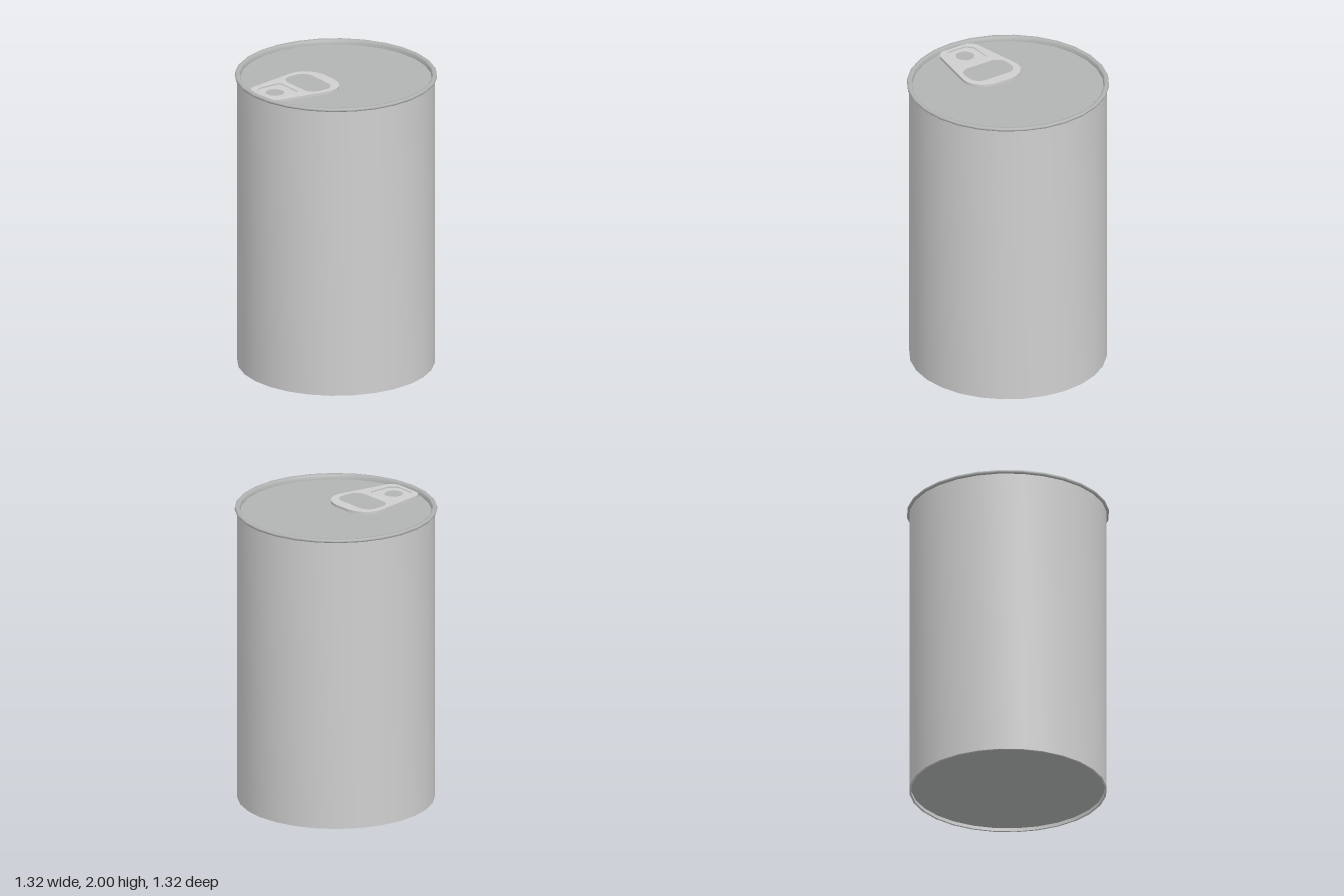
import * as THREE from 'three';
import { toCreasedNormals } from 'three/addons/utils/BufferGeometryUtils.js';

const SIDES = 28;
const LID_Y = 1.968;

export function createModel() {
  const can = new THREE.Group();
  can.name = 'can';
  const steel = new THREE.MeshStandardMaterial({ color: 0xcfcfcf });
  steel.name = 'light steel';
  const grey = new THREE.MeshStandardMaterial({ color: 0xb1b4b2 });
  grey.name = 'lid grey';

  const add = (name, geometry, material, y = 0) => {
    const mesh = new THREE.Mesh(geometry, material);
    mesh.name = name;
    mesh.position.y = y;
    can.add(mesh);
    return mesh;
  };
  const lathe = (points, crease) => toCreasedNormals(
    new THREE.LatheGeometry(points.map(([r, y]) => new THREE.Vector2(r, y)), SIDES), crease);
  const disc = (r, up) => new THREE.CircleGeometry(r, SIDES).rotateX(up ? -Math.PI / 2 : Math.PI / 2);

  // Wall with its short inner lip under the base
  add('body', lathe([[0.632, 0.025], [0.632, 0], [0.645, 0], [0.645, 1.982]], 0.6), steel);
  add('base', disc(0.633, false), grey, 0.022);

  // Rolled rim running down to the sunken lid
  add('rim', lathe([[0.643, 1.977], [0.655, 1.979], [0.66, 1.985], [0.66, 1.993], [0.654, 2],
    [0.634, 2], [0.628, 1.994], [0.625, LID_Y - 0.003]], 0.9), grey);
  add('lid', disc(0.626, true), grey, LID_Y);

  // Flat parts are drawn with shape y = -z, then laid on the lid
  const plate = (shape, depth) => new THREE.ExtrudeGeometry(shape, {
    depth, bevelEnabled: false, curveSegments: 6,
  }).rotateX(-Math.PI / 2);

  // Pull tab outline
  const tab = new THREE.Shape();
  tab.moveTo(-0.06, -0.05);
  tab.lineTo(0.06, -0.05);
  tab.bezierCurveTo(0.14, -0.055, 0.22, -0.12, 0.207, -0.21);
  tab.lineTo(0.147, -0.56);
  tab.quadraticCurveTo(0.135, -0.59, 0.1, -0.61);
  tab.lineTo(-0.1, -0.61);
  tab.quadraticCurveTo(-0.135, -0.59, -0.147, -0.56);
  tab.lineTo(-0.207, -0.21);
  tab.bezierCurveTo(-0.22, -0.12, -0.14, -0.055, -0.06, -0.05);

  // Rounded finger hole
  const finger = new THREE.Path();
  const [hx, hr, top, low] = [0.165, 0.075, -0.125, -0.325];
  finger.absarc(hx - hr, top - hr, hr, Math.PI / 2, 0, true);
  finger.absarc(hx - hr, low + hr, hr, 0, -Math.PI / 2, true);
  finger.absarc(-hx + hr, low + hr, hr, -Math.PI / 2, -Math.PI, true);
  finger.absarc(-hx + hr, top - hr, hr, Math.PI, Math.PI / 2, true);
  finger.closePath();

  // Recess around the rivet, filled by a lower flap
  const recess = [[-0.085, -0.37], [0.085, -0.37], [0.108, -0.39], [0.108, -0.54],
    [0.07, -0.585], [-0.07, -0.585], [-0.108, -0.54], [-0.108, -0.39]]
    .map(([x, y]) => new THREE.Vector2(x, y));
  tab.holes.push(finger, new THREE.Path(recess));
  add('pullTab', plate(tab, 0.018), steel, LID_Y);

  const flap = new THREE.Shape(recess);
  const rivet = new THREE.Path();
  rivet.absarc(0, -0.49, 0.062, 0, Math.PI * 2, true);
  flap.holes.push(rivet);
  add('rivetFlap', plate(flap, 0.009), steel, LID_Y);

  return can;
}
